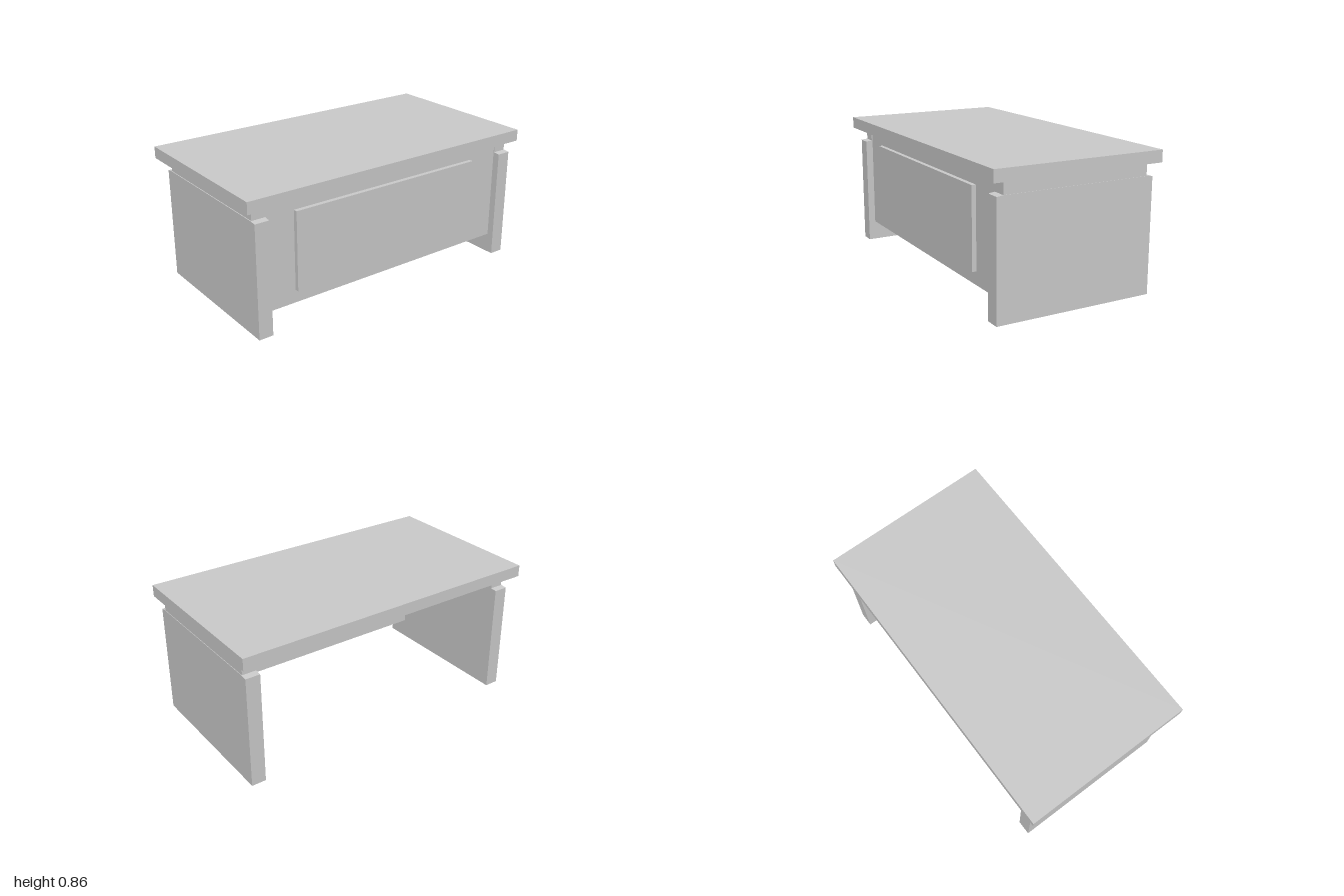
import * as THREE from 'three';

const material = new THREE.MeshStandardMaterial({ color: 0xcccccc, flatShading: true });

// Box given by its limits on each axis
function block(name, [x0, x1], [y0, y1], [z0, z1]) {
  const mesh = new THREE.Mesh(new THREE.BoxGeometry(x1 - x0, y1 - y0, z1 - z0), material);
  mesh.position.set((x0 + x1) / 2, (y0 + y1) / 2, (z0 + z1) / 2);
  mesh.name = name;
  return mesh;
}

// Side slab with a top that slopes down slightly at front and back
function sideSlab(name, x0, x1) {
  const profile = new THREE.Shape([
    [-0.505, 0], [0.5, 0], [0.5, 0.702], [0.46, 0.707], [-0.465, 0.707], [-0.505, 0.702],
  ].map(([u, v]) => new THREE.Vector2(u, v)));
  const geometry = new THREE.ExtrudeGeometry(profile, { depth: x1 - x0, bevelEnabled: false });
  geometry.rotateY(Math.PI / 2); // profile u runs along -z, depth along +x
  const mesh = new THREE.Mesh(geometry, material);
  mesh.position.x = x0;
  mesh.name = name;
  return mesh;
}

export function createModel() {
  const desk = new THREE.Group();
  desk.name = 'desk';

  desk.add(block('desktop', [-1, 1], [0.782, 0.855], [-0.54, 0.54]));

  // Side supports, each with a recessed neck under the desktop
  const neckY = [0.705, 0.784], neckZ = [-0.46, 0.465];
  desk.add(sideSlab('rightSide', -0.94, -0.85));
  desk.add(block('rightNeck', [-0.935, -0.85], neckY, neckZ));
  desk.add(sideSlab('leftSide', 0.88, 0.97));
  desk.add(block('leftNeck', [0.88, 0.967], neckY, neckZ));

  // Front panel with its raised field
  desk.add(block('frontPanel', [-0.85, 0.88], [0.127, 0.784], [0.365, 0.46]));
  desk.add(block('raisedField', [-0.665, 0.665], [0.208, 0.7], [0.45, 0.487]));

  return desk;
}
